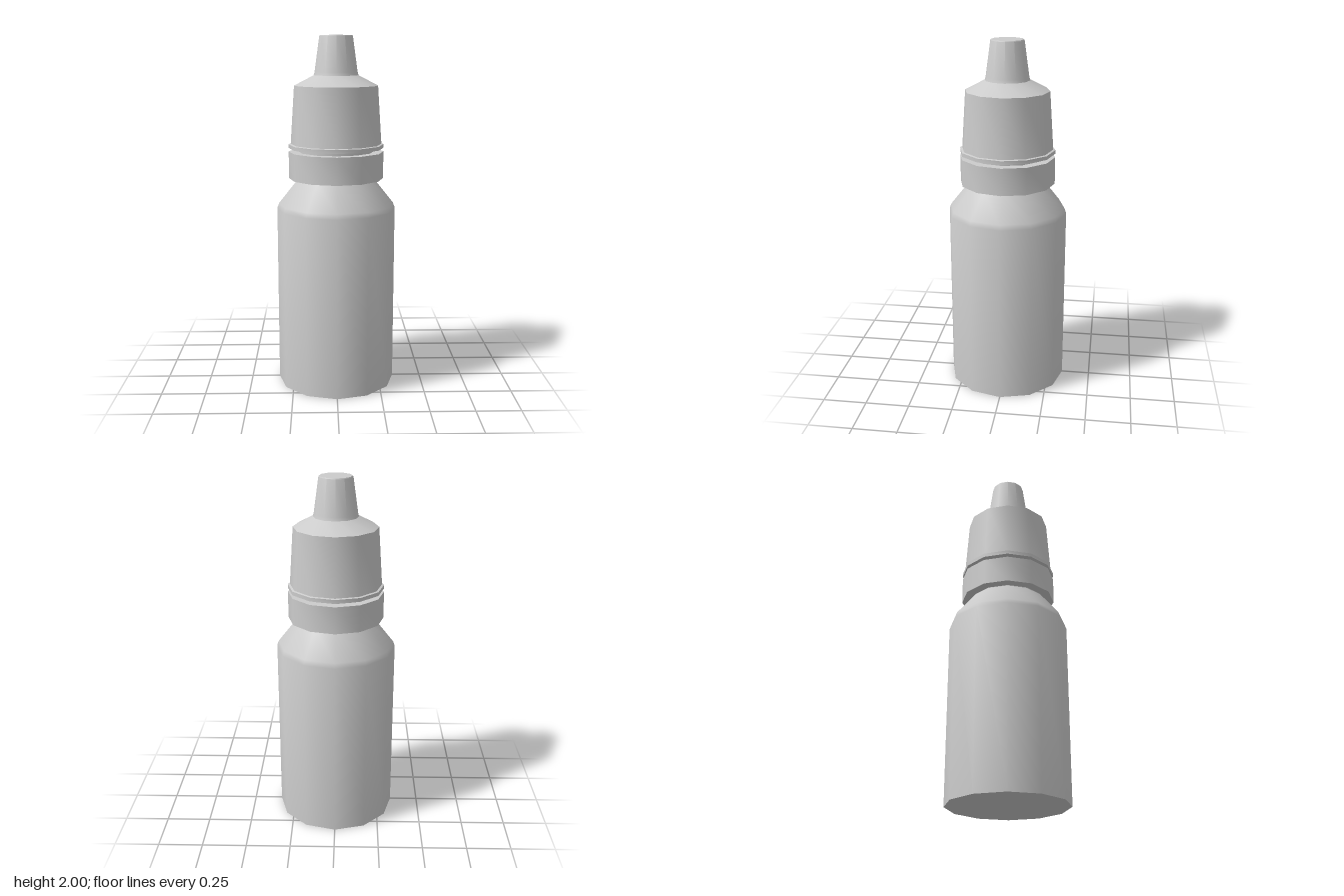
import * as THREE from 'three';
import { toCreasedNormals } from 'three/addons/utils/BufferGeometryUtils.js';

const SIDES = 12;

// Turned part from [radius, height] pairs, listed from the bottom up
function turned(name, profile) {
  const points = profile.map(([r, y]) => new THREE.Vector2(r, y));
  const geometry = toCreasedNormals(new THREE.LatheGeometry(points, SIDES), 0.62);
  const mesh = new THREE.Mesh(geometry, new THREE.MeshStandardMaterial({ color: 0xcccccc }));
  mesh.name = name;
  return mesh;
}

export function createModel() {
  const group = new THREE.Group();
  group.name = 'dropperBottle';

  // Body with sloping shoulder and a neck that runs up into the cap
  group.add(turned('bottle', [
    [0, 0], [0.338, 0], [0.338, 1.03], [0.328, 1.058],
    [0.215, 1.2], [0.215, 1.39], [0, 1.39],
  ]));

  // Tamper ring around the neck
  group.add(turned('tamperRing', [
    [0.2, 1.203], [0.269, 1.203], [0.269, 1.356], [0.2, 1.356],
  ]));

  // Screw cap: lower lip, tapered skirt, shoulder and narrow tip
  group.add(turned('cap', [
    [0.2, 1.376], [0.269, 1.376], [0.269, 1.397], [0.257, 1.4],
    [0.235, 1.725], [0.125, 1.782], [0.12, 1.8], [0.093, 1.995], [0.09, 2], [0, 2],
  ]));

  return group;
}
